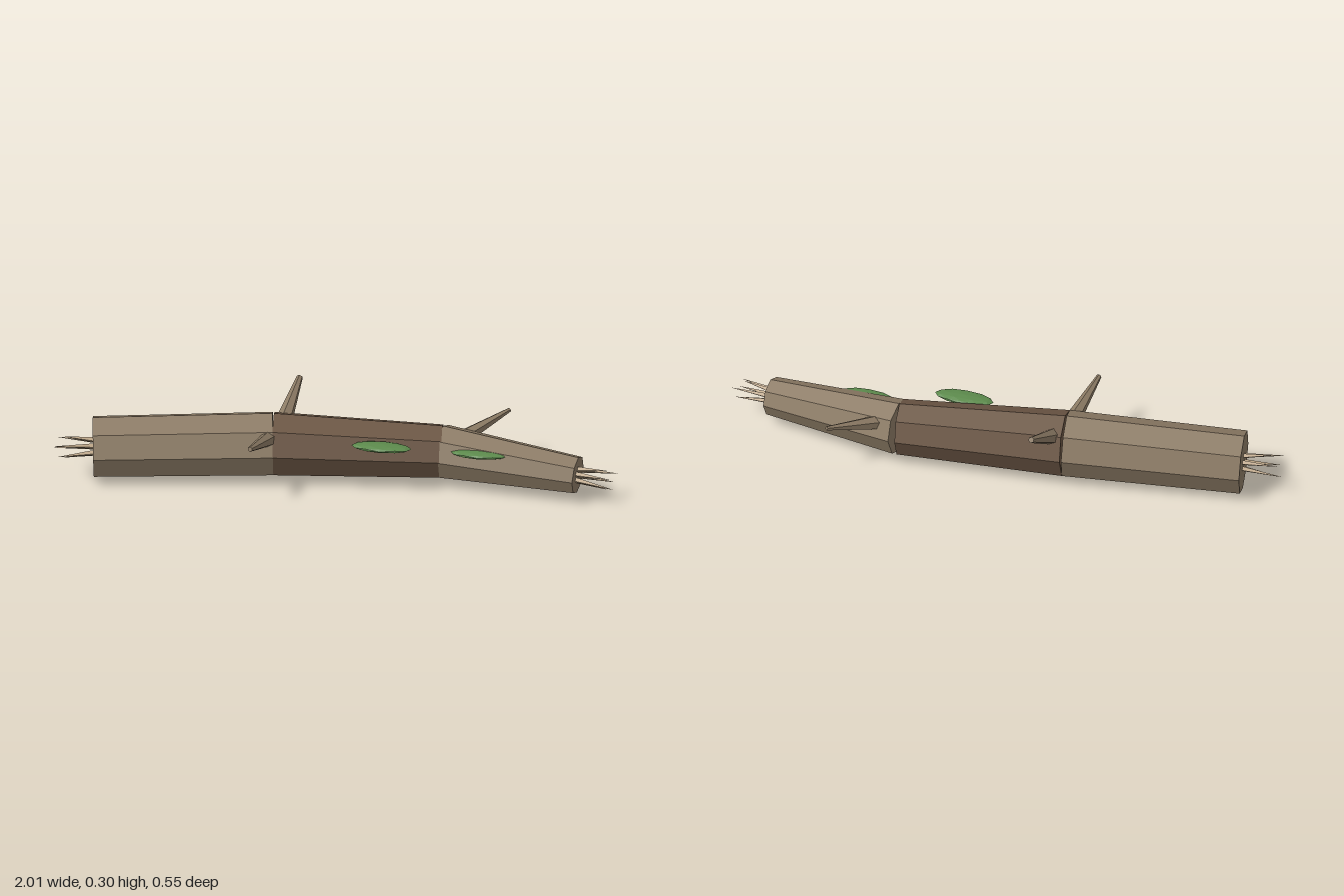
import * as THREE from 'three';

const mat = (color) => new THREE.MeshStandardMaterial({ color, flatShading: true });

export function createModel() {
  const log = new THREE.Group();
  log.name = 'fallenLog';
  const bark = mat(0x8c7b65), darkBark = mat(0x6b5644), wood = mat(0xb8a080), moss = mat(0x5c8a4c);
  const V = (p) => new THREE.Vector3(...p);

  // Tapered round from point a to point b, with a corner facing straight up
  function limb(name, a, b, ra, rb, sides, material) {
    const start = V(a), end = V(b);
    const geo = new THREE.CylinderGeometry(rb, ra, start.distanceTo(end), sides).rotateX(Math.PI / 2);
    const mesh = new THREE.Mesh(geo, material);
    mesh.name = name;
    mesh.position.copy(start).lerp(end, 0.5);
    mesh.lookAt(end);
    log.add(mesh);
    return mesh;
  }

  // Trunk in three bent sections
  const joints = [
    [-0.864, 0.116, 0.096], [-0.235, 0.131, -0.005], [0.361, 0.118, -0.072], [0.861, 0.097, -0.004],
  ];
  const radii = [0.114, 0.119, 0.1, 0.069];
  ['trunkThick', 'trunkMiddle', 'trunkThin'].forEach((name, i) => {
    limb(name, joints[i], joints[i + 1], radii[i], radii[i + 1], 8, i === 1 ? darkBark : bark);
  });

  // Broken branch stubs
  limb('branchFront', [-0.235, 0.18, 0.05], [-0.27, 0.238, 0.275], 0.031, 0.009, 6, bark);
  limb('branchBack', [-0.207, 0.193, -0.06], [-0.178, 0.29, -0.233], 0.031, 0.011, 6, bark);
  limb('branchThin', [0.405, 0.148, -0.095], [0.57, 0.203, -0.272], 0.031, 0.008, 6, bark);

  // Splinters fanning from both broken ends
  function splinters(name, end, inner, count, spread) {
    const tip = V(end), axis = tip.clone().sub(V(inner)).normalize();
    const side = new THREE.Vector3(0, 1, 0).cross(axis).normalize();
    const up = axis.clone().cross(side);
    for (let i = 0; i < count; i++) {
      const a = (i / count) * Math.PI * 2 + 0.5;
      const at = (r, d) => tip.clone().addScaledVector(side, Math.cos(a) * r)
        .addScaledVector(up, Math.sin(a) * r).addScaledVector(axis, d).toArray();
      limb(name, at(spread * 0.6, -0.01), at(spread, [0.14, 0.105, 0.125][i % 3]), 0.011, 0.0005, 4, wood);
    }
  }
  splinters('splinterLeft', joints[3], joints[2], 6, 0.036);
  splinters('splinterRight', joints[0], joints[1], 6, 0.042);

  // Flat moss patches
  const patches = [[0.168, 0.187, 0.074, 1], [0.51, 0.16, 0.014, 0.95], [-0.49, 0.208, 0.072, 0.85]];
  for (const [x, y, z, s] of patches) {
    const patch = new THREE.Mesh(new THREE.IcosahedronGeometry(1, 1), moss);
    patch.name = 'mossPatch';
    patch.position.set(x, y, z);
    patch.scale.set(0.108 * s, 0.013 * s, 0.04 * s);
    log.add(patch);
  }
  return log;
}
